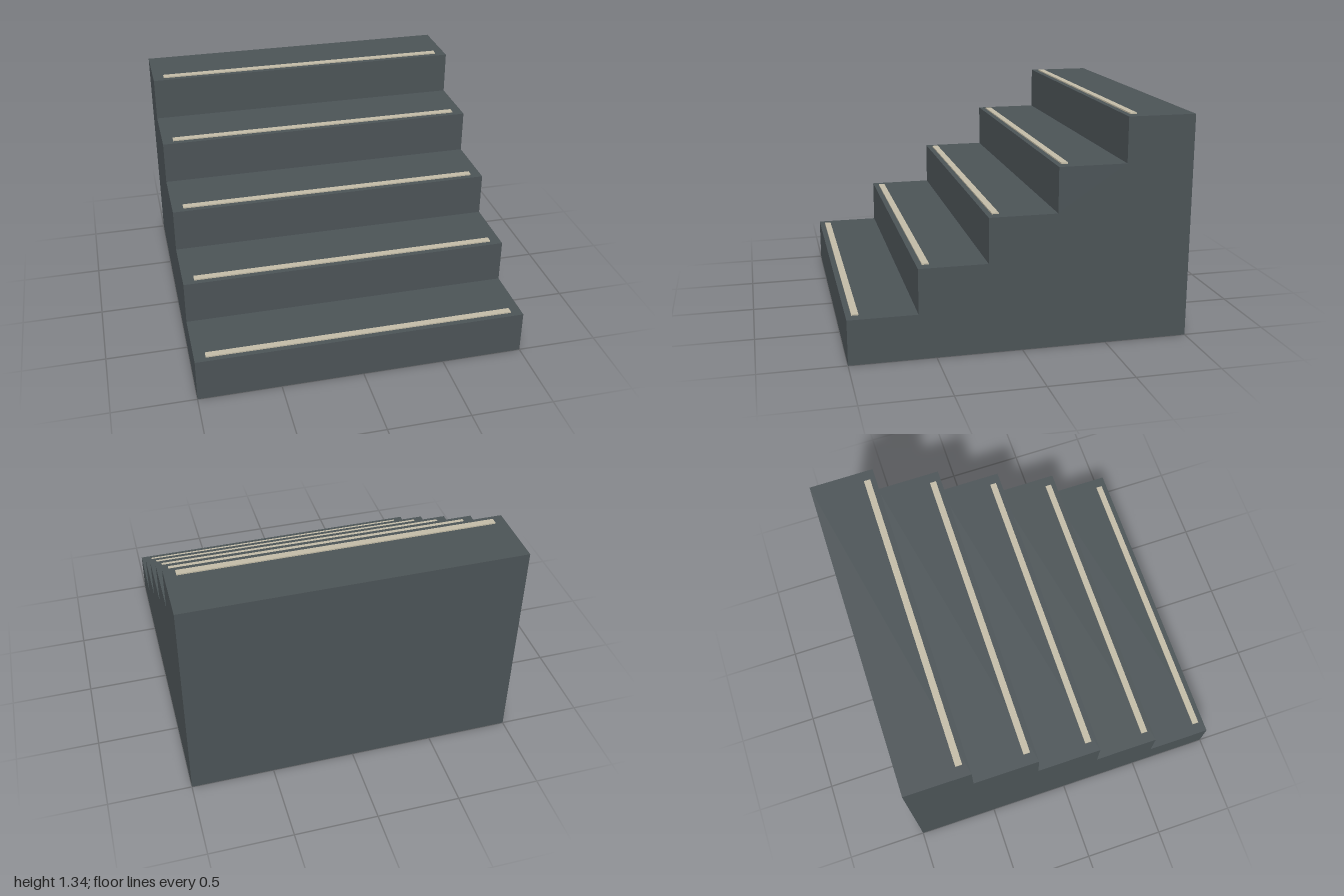
import * as THREE from 'three';

const STEPS = 5;
const WIDTH = 2;
const RUN = 0.4;
const RISE = 4 / 15;

export function createModel() {
  const group = new THREE.Group();
  group.name = 'staircase';
  const stone = new THREE.MeshStandardMaterial({ color: 0x4c5457 });
  const grip = new THREE.MeshStandardMaterial({ color: 0xc4bda8 });

  // Solid stair block: stepped side profile (z, y) extruded across the width
  const profile = new THREE.Shape();
  profile.moveTo(-1, 0);
  profile.lineTo(1, 0);
  for (let i = 0; i < STEPS; i++) {
    profile.lineTo(1 - i * RUN, (i + 1) * RISE);
    profile.lineTo(1 - (i + 1) * RUN, (i + 1) * RISE);
  }
  profile.closePath();
  const geometry = new THREE.ExtrudeGeometry(profile, { depth: WIDTH, bevelEnabled: false });
  geometry.translate(0, 0, -WIDTH / 2);
  geometry.rotateY(-Math.PI / 2);
  const block = new THREE.Mesh(geometry, stone);
  block.name = 'stairBlock';
  group.add(block);

  // Thin anti-slip strip near the front edge of every tread
  const stripGeometry = new THREE.BoxGeometry(1.865, 0.012, 0.04);
  for (let i = 0; i < STEPS; i++) {
    const strip = new THREE.Mesh(stripGeometry, grip);
    strip.name = `gripStrip${i + 1}`;
    strip.position.set(0, (i + 1) * RISE + 0.002, 0.947 - i * RUN);
    group.add(strip);
  }
  return group;
}
